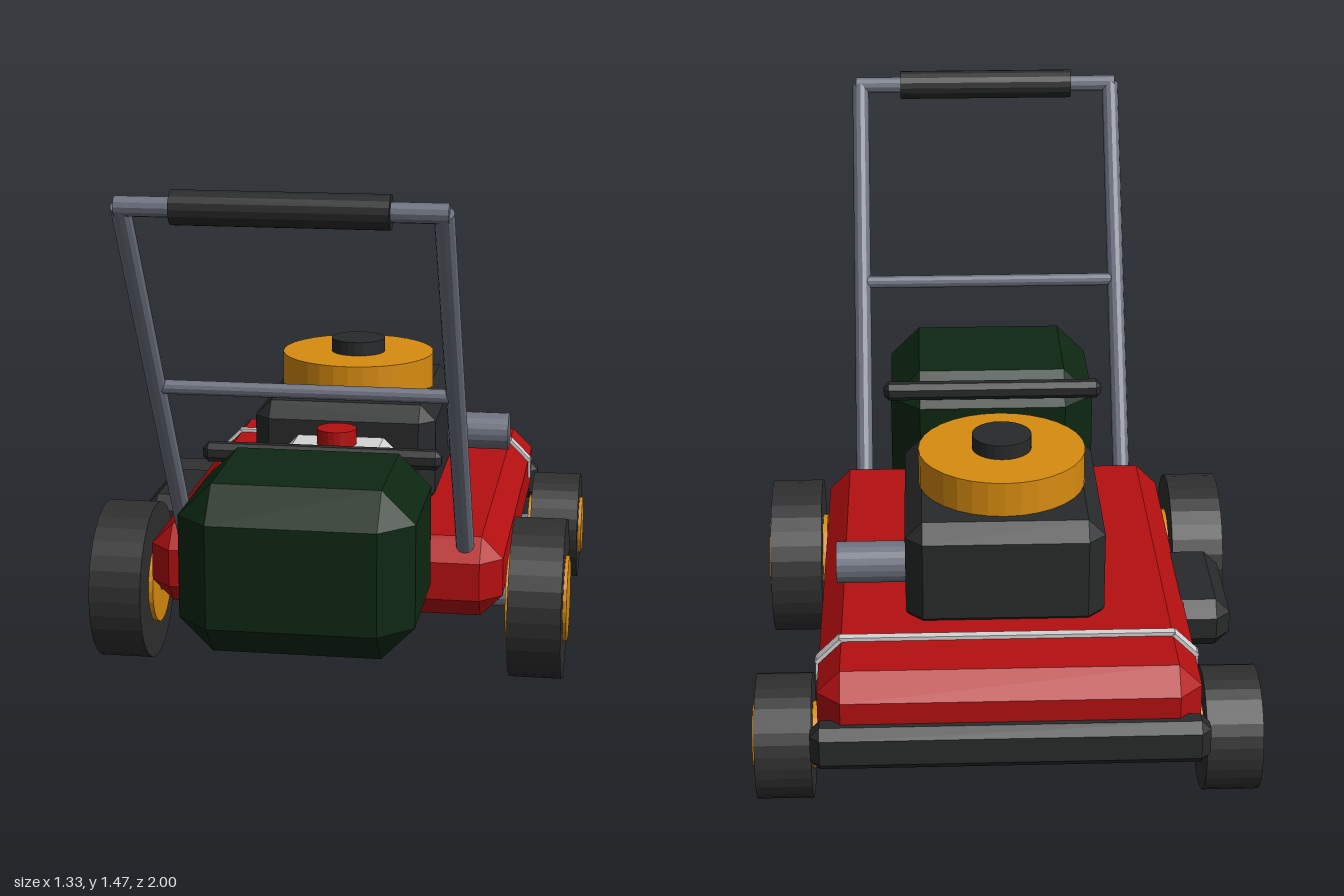
import * as THREE from 'three';
import { ConvexGeometry } from 'three/addons/geometries/ConvexGeometry.js';

const mat = (name, color) => {
  const m = new THREE.MeshStandardMaterial({ color });
  m.name = name;
  return m;
};

export function createModel() {
  const red = mat('red paint', 0xb40f10);
  const amber = mat('amber plastic', 0xd88c10);
  const green = mat('dark green fabric', 0x0d2712);
  const rubber = mat('black rubber', 0x2f2f2f);
  const black = mat('black plastic', 0x28292a);
  const steel = mat('blue grey steel', 0x6d7280);
  const blade = mat('blade steel', 0x9a9fa6);
  const white = mat('off white', 0xd4d4d4);

  const model = new THREE.Group();
  model.name = 'lawnMower';

  const add = (name, geometry, material, parent = model) => {
    const mesh = new THREE.Mesh(geometry, material);
    mesh.name = name;
    parent.add(mesh);
    return mesh;
  };

  // Box with all edges and corners chamfered by c, given by its limits
  const chamferBox = (name, material, [x0, x1], [y0, y1], [z0, z1], c) => {
    const h = [(x1 - x0) / 2, (y1 - y0) / 2, (z1 - z0) / 2];
    const points = [];
    for (const sx of [-1, 1]) for (const sy of [-1, 1]) for (const sz of [-1, 1])
      for (let axis = 0; axis < 3; axis++) {
        const p = h.map((v, i) => (i === axis ? v : v - c));
        points.push(new THREE.Vector3(sx * p[0], sy * p[1], sz * p[2]));
      }
    const mesh = add(name, new ConvexGeometry(points), material);
    mesh.position.set((x0 + x1) / 2, (y0 + y1) / 2, (z0 + z1) / 2);
    return mesh;
  };

  // Faceted cylinder between two points
  const rod = (name, material, from, to, radius, sides = 12, parent = model) => {
    const a = new THREE.Vector3(...from);
    const b = new THREE.Vector3(...to);
    const geometry = new THREE.CylinderGeometry(radius, radius, a.distanceTo(b), sides).toNonIndexed();
    geometry.computeVertexNormals();
    const mesh = add(name, geometry, material, parent);
    mesh.position.copy(a).add(b).multiplyScalar(0.5);
    mesh.quaternion.setFromUnitVectors(new THREE.Vector3(0, 1, 0), b.sub(a).normalize());
    return mesh;
  };

  // Body
  chamferBox('deck', red, [-0.49, 0.49], [0.21, 0.435], [-0.96, 0.34], 0.06);
  chamferBox('bumper', black, [-0.508, 0.508], [0.195, 0.315], [-1, -0.913], 0.025);
  chamferBox('sideChute', black, [-0.62, -0.42], [0.24, 0.38], [-0.5, -0.14], 0.04);
  chamferBox('grassBag', green, [-0.305, 0.305], [0.25, 0.697], [0.325, 0.852], 0.087);
  chamferBox('bagBar', black, [-0.325, 0.325], [0.638, 0.69], [0.315, 0.367], 0.015);

  // Engine, starter cover, fuel tank and exhaust
  chamferBox('engineBlock', black, [-0.262, 0.262], [0.4, 0.705], [-0.657, -0.047], 0.045);
  rod('starterCover', amber, [0, 0.69, -0.36], [0, 0.8, -0.36], 0.224, 32);
  rod('starterCap', black, [0, 0.79, -0.36], [0, 0.84, -0.36], 0.08, 24);
  chamferBox('fuelTank', white, [-0.163, 0.163], [0.42, 0.627], [-0.045, 0.2], 0.04);
  rod('fuelCap', red, [0, 0.61, 0.073], [0, 0.672, 0.073], 0.056, 20);
  rod('exhaust', steel, [0.22, 0.532, -0.495], [0.445, 0.532, -0.495], 0.056, 20);

  // Pale trim strip folded over the deck
  const trim = (name, [xa, ya], [xb, yb], width) => {
    const length = Math.hypot(xb - xa, yb - ya);
    const mesh = add(name, new THREE.BoxGeometry(length, 0.016, width), white);
    mesh.position.set((xa + xb) / 2, (ya + yb) / 2, -0.74);
    mesh.rotation.z = Math.atan2(yb - ya, xb - xa);
  };
  trim('topTrim', [-0.435, 0.437], [0.435, 0.437], 0.022);
  for (const s of [-1, 1]) {
    trim('cornerTrim', [s * 0.43, 0.438], [s * 0.494, 0.374], 0.034);
    trim('sideTrim', [s * 0.49, 0.385], [s * 0.49, 0.32], 0.02);
  }

  // Wheels and axles: height, z, tyre radius, hub radius
  for (const [end, y, z, tyreRadius, hubRadius] of [
    ['rear', 0.223, 0.142, 0.223, 0.12],
    ['front', 0.163, -0.76, 0.163, 0.088],
  ]) {
    rod(end + 'Axle', steel, [-0.52, y, z], [0.52, y, z], 0.03);
    for (const s of [-1, 1]) {
      const wheel = new THREE.Group();
      wheel.name = end + (s > 0 ? 'LeftWheel' : 'RightWheel');
      model.add(wheel);
      rod('tyre', rubber, [s * 0.508, y, z], [s * 0.654, y, z], tyreRadius, 32, wheel);
      rod('hub', amber, [s * 0.495, y, z], [s * 0.664, y, z], hubRadius, 24, wheel);
    }
  }

  // Cutting blade
  add('blade', new THREE.BoxGeometry(0.78, 0.018, 0.09), blade).position.set(0, 0.172, -0.31);
  rod('bladeHub', blade, [0, 0.155, -0.31], [0, 0.19, -0.31], 0.06, 12);

  // Handle
  const foot = [0.41, 0.295];
  const top = [1.43, 0.957];
  for (const s of [-1, 1])
    rod(s > 0 ? 'leftHandleTube' : 'rightHandleTube', steel,
      [s * 0.387, ...foot], [s * 0.387, ...top], 0.025);
  rod('handleTopBar', steel, [-0.4, ...top], [0.4, ...top], 0.025);
  rod('handleCrossBar', steel, [-0.387, 0.908, 0.617], [0.387, 0.908, 0.617], 0.019);
  rod('grip', black, [-0.263, ...top], [0.263, ...top], 0.043, 16);

  return model;
}
